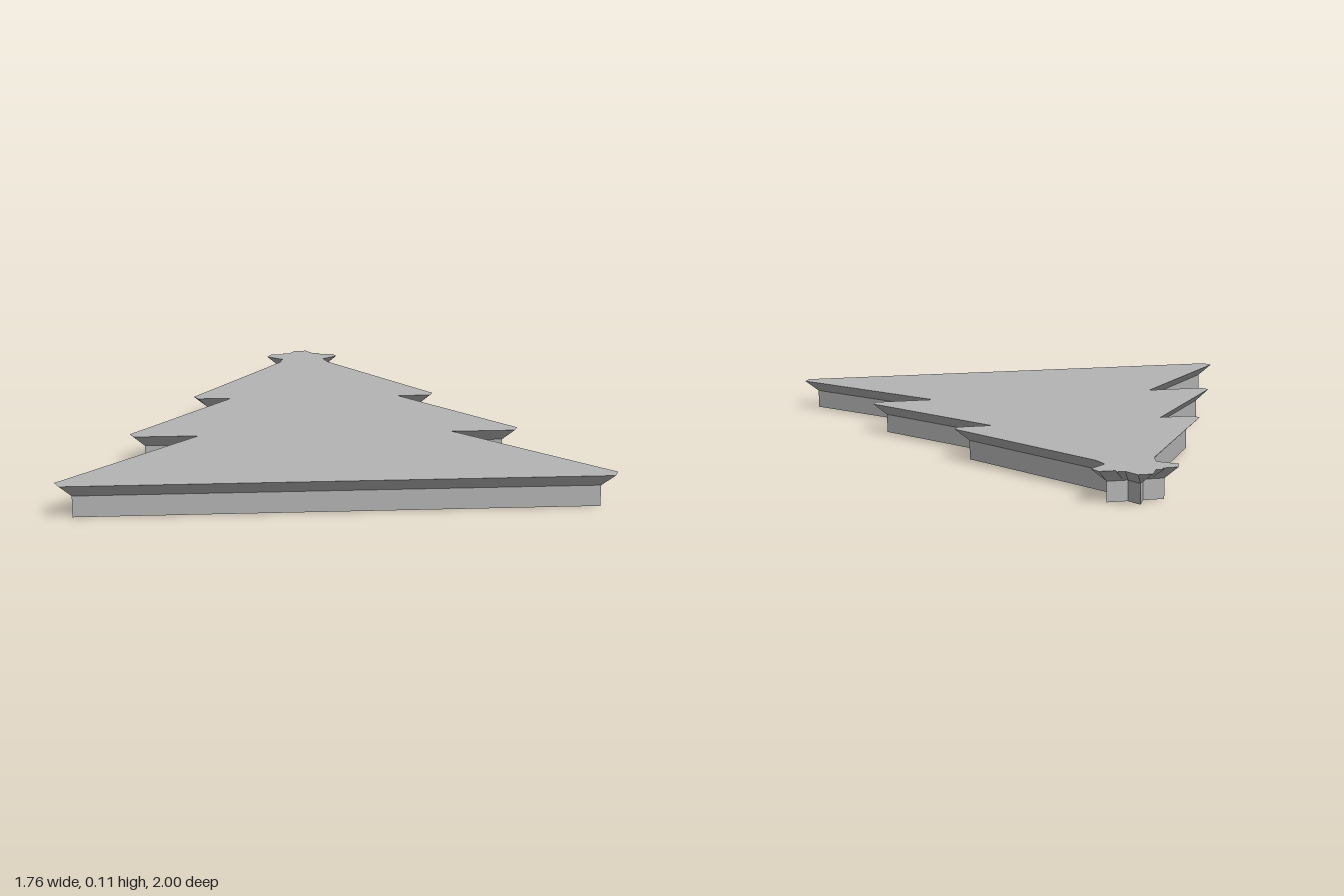
import * as THREE from 'three';

// Half outline from the star tip to the base: [rim x, rim z, foot x, foot z]
const HALF = [
  [0.024, -1.0, 0, -0.945],
  [0.05, -0.945, 0.025, -0.89],
  [0.077, -0.945, 0.04, -0.89],
  [0.077, -0.928, 0.05, -0.89],
  [0.13, -0.926, 0.095, -0.89],
  [0.145, -0.883, 0.095, -0.89],
  [0.085, -0.83, 0.036, -0.844],
  [0.098, -0.771, 0.055, -0.763],
  [0.452, -0.169, 0.4, -0.173],
  [0.436, -0.135, 0.4, -0.173],
  [0.314, -0.135, 0.237, -0.173],
  [0.67, 0.377, 0.619, 0.375],
  [0.655, 0.415, 0.619, 0.375],
  [0.436, 0.415, 0.352, 0.375],
  [0.878, 0.957, 0.825, 0.96],
  [0.86, 1.0, 0.825, 0.96],
];
const OUTLINE = [...HALF, ...HALF.slice().reverse().map(([x, z, u, w]) => [-x, z, -u, w])];
const TOP = 0.11, SHOULDER = 0.068;

const rimRing = (y) => OUTLINE.map(([x, z]) => new THREE.Vector3(x, y, z));
const footRing = (y) => OUTLINE.map(([, , x, z]) => new THREE.Vector3(x, y, z));

function toMesh(name, points, material) {
  const geometry = new THREE.BufferGeometry().setFromPoints(points);
  geometry.computeVertexNormals();
  const mesh = new THREE.Mesh(geometry, material);
  mesh.name = name;
  return mesh;
}

// Strip of faces joining a lower ring to an upper ring, facing outwards
function band(lower, upper) {
  const points = [];
  lower.forEach((a, i) => {
    const j = (i + 1) % lower.length;
    const b = lower[j], A = upper[i], B = upper[j];
    if (!a.equals(b)) points.push(a, B, b);
    points.push(a, A, B);
  });
  return points;
}

// Flat face filling a ring, facing up or down
function cap(ring, up) {
  const clean = ring.filter((p, i) => !p.equals(ring[(i + 1) % ring.length]));
  const triangles = THREE.ShapeUtils.triangulateShape(clean.map((p) => new THREE.Vector2(p.x, p.z)), []);
  return triangles.flatMap(([i, j, k]) => {
    const p = clean[i], q = clean[j], r = clean[k];
    const facing = (q.z - p.z) * (r.x - p.x) - (q.x - p.x) * (r.z - p.z);
    return (facing > 0) === up ? [p, q, r] : [p, r, q];
  });
}

export function createModel() {
  const group = new THREE.Group();
  group.name = 'treePlate';
  const grey = new THREE.MeshStandardMaterial({ color: 0xb4b4b4 });
  grey.name = 'plain grey';

  group.add(
    toMesh('topFace', cap(rimRing(TOP), true), grey),
    toMesh('flaredRim', band(footRing(SHOULDER), rimRing(TOP)), grey),
    toMesh('sideWall', band(footRing(0), footRing(SHOULDER)), grey),
    toMesh('underside', cap(footRing(0), false), grey),
  );
  return group;
}
